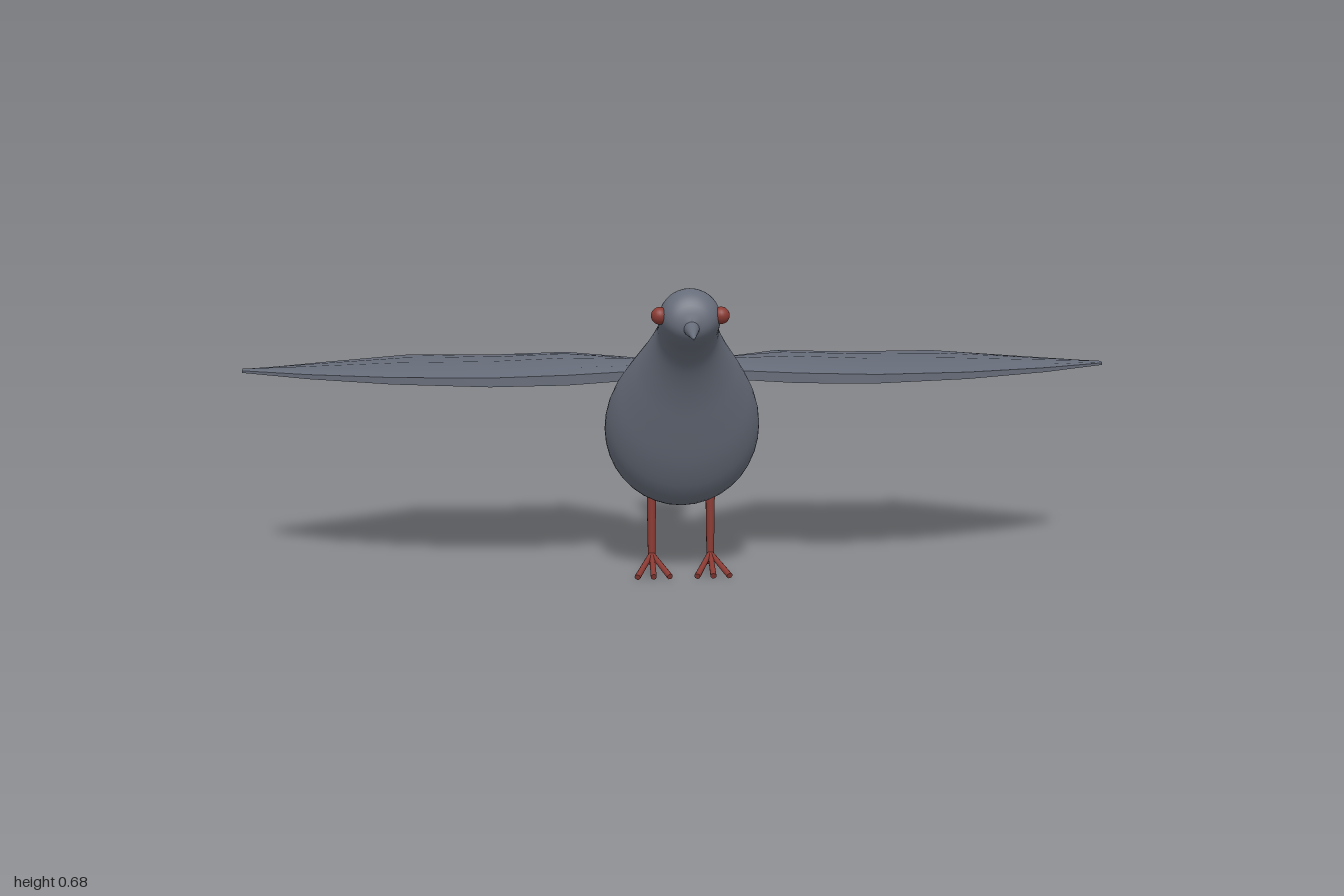
import * as THREE from 'three';
import { toCreasedNormals } from 'three/addons/utils/BufferGeometryUtils.js';

const plumage = new THREE.MeshStandardMaterial({ color: 0x666c79 });
plumage.name = 'slate grey';
const red = new THREE.MeshStandardMaterial({ color: 0x8a3a33 });
red.name = 'brick red';

function add(parent, name, geometry, material) {
  const mesh = new THREE.Mesh(geometry, material);
  mesh.name = name;
  parent.add(mesh);
  return mesh;
}

// Skins a list of closed rings (each a list of Vector3) and caps both ends.
// Rings run anticlockwise when looking back along the direction of the loft.
function loft(rings) {
  const n = rings[0].length, pos = [], idx = [];
  rings.forEach(r => r.forEach(p => pos.push(p.x, p.y, p.z)));
  for (let i = 0; i < rings.length - 1; i++) {
    for (let j = 0; j < n; j++) {
      const a = i * n + j, b = i * n + (j + 1) % n;
      idx.push(a, b, b + n, a, b + n, a + n);
    }
  }
  const last = (rings.length - 1) * n;
  for (let j = 1; j < n - 1; j++) {
    idx.push(0, j + 1, j, last, last + j, last + j + 1);
  }
  const g = new THREE.BufferGeometry();
  g.setAttribute('position', new THREE.Float32BufferAttribute(pos, 3));
  g.setIndex(idx);
  g.computeVertexNormals();
  return g;
}

// Body rings: top z, top y, bottom z, bottom y, half width
function bodyGeometry() {
  const s = [
    [-0.207, 0.336, -0.205, 0.324, 0.03], [-0.19, 0.362, -0.18, 0.298, 0.065],
    [-0.14, 0.412, -0.13, 0.25, 0.108], [-0.07, 0.459, -0.06, 0.197, 0.143],
    [0, 0.49, 0.02, 0.163, 0.165], [0.07, 0.512, 0.1, 0.158, 0.175],
    [0.13, 0.533, 0.16, 0.188, 0.172], [0.175, 0.552, 0.2, 0.255, 0.155],
    [0.215, 0.576, 0.23, 0.34, 0.126], [0.245, 0.599, 0.253, 0.41, 0.099],
    [0.27, 0.624, 0.277, 0.467, 0.078], [0.29, 0.646, 0.302, 0.508, 0.067],
    [0.315, 0.669, 0.335, 0.54, 0.066], [0.345, 0.68, 0.368, 0.558, 0.065],
    [0.375, 0.672, 0.39, 0.573, 0.056], [0.396, 0.648, 0.401, 0.588, 0.038],
    [0.405, 0.615, 0.405, 0.605, 0.008],
  ];
  const top = new THREE.CatmullRomCurve3(s.map(r => new THREE.Vector3(0, r[1], r[0])), false, 'catmullrom');
  const low = new THREE.CatmullRomCurve3(s.map(r => new THREE.Vector3(r[4], r[3], r[2])), false, 'catmullrom');
  const rings = [], steps = 64, sides = 36;
  for (let i = 0; i <= steps; i++) {
    const t = top.getPoint(i / steps), b = low.getPoint(i / steps), ring = [];
    for (let j = 0; j < sides; j++) {
      const a = j / sides * Math.PI * 2, k = (1 + Math.cos(a)) / 2;
      ring.push(new THREE.Vector3(-b.x * Math.sin(a), b.y + (t.y - b.y) * k, b.z + (t.z - b.z) * k));
    }
    rings.push(ring);
  }
  return loft(rings);
}

// Wing stations: x, leading z, trailing z, ridge y, underside y
function wingGeometry(side) {
  const stations = [
    [0.09, 0.13, -0.115, 0.488, 0.454], [0.26, 0.18, -0.27, 0.488, 0.45],
    [0.43, 0.196, -0.245, 0.484, 0.45], [0.645, 0.16, -0.262, 0.479, 0.453],
    [0.84, 0.09, -0.135, 0.474, 0.457], [1, 0.0, -0.028, 0.468, 0.46],
  ];
  const rings = stations.map(([x, f, r, hi, lo]) => {
    const h = hi - lo, c = f - r;
    const ring = [
      [f, lo], [f, lo + h * 0.6], [f - c * 0.12, lo + h * 0.85], [f - c * 0.4, hi],
      [f - c * 0.7, lo + h * 0.8], [r, lo + h * 0.45], [r, lo + h * 0.12], [f - c * 0.5, lo + h * 0.2],
    ].map(([z, y]) => new THREE.Vector3(x * side, y, z));
    return side > 0 ? ring.reverse() : ring;
  });
  return toCreasedNormals(loft(rings), 0.8);
}

// Thin fan tail, slightly arched across, sloping down to a rounded end
function tailGeometry() {
  const across = [-1, -0.75, -0.5, -0.25, 0, 0.25, 0.5, 0.75, 1];
  const rings = [0, 0.25, 0.5, 0.75, 1].map(t => {
    const point = (u, lift) => {
      const reach = 0.255 * t + 0.04 * t * t * (1 - u * u);
      return new THREE.Vector3(u * (0.035 + 0.035 * t), 0.333 - 0.187 * reach - 0.007 * t * u * u + lift, -0.182 - reach);
    };
    return [...across.map(u => point(u, 0.002)), ...across.map(u => point(-u, -0.002))];
  });
  return toCreasedNormals(loft(rings), 0.6);
}

// Straight round rod between two points
function rod(from, to, r0, r1) {
  const a = new THREE.Vector3(...from), b = new THREE.Vector3(...to);
  const d = b.clone().sub(a), len = d.length();
  const g = new THREE.CylinderGeometry(r1, r0, len, 10);
  g.applyQuaternion(new THREE.Quaternion().setFromUnitVectors(new THREE.Vector3(0, 1, 0), d.normalize()));
  a.add(b).multiplyScalar(0.5);
  return g.translate(a.x, a.y, a.z);
}

export function createModel() {
  const bird = new THREE.Group();
  bird.name = 'bird';

  add(bird, 'body', bodyGeometry(), plumage);
  add(bird, 'tail', tailGeometry(), plumage);

  // Beak: a cone sheared so that its underside is level
  const beak = new THREE.ConeGeometry(0.02, 0.09, 16).rotateX(Math.PI / 2).translate(0, 0, 0.045);
  const p = beak.attributes.position;
  for (let i = 0; i < p.count; i++) p.setY(i, p.getY(i) - p.getZ(i) * 0.21);
  beak.computeVertexNormals();
  add(bird, 'beak', beak.translate(0, 0.603, 0.387), plumage);

  for (const side of [1, -1]) {
    const label = side > 0 ? 'left' : 'right';
    add(bird, label + 'Wing', wingGeometry(side), plumage);
    add(bird, label + 'Eye', new THREE.SphereGeometry(0.0185, 20, 14), red)
      .position.set(side * 0.065, 0.624, 0.365);

    // Leg with three front toes and one hind toe
    const leg = new THREE.Group();
    leg.name = label + 'Leg';
    bird.add(leg);
    const x = side * 0.068, ankle = [x, 0.04, 0.078];
    add(leg, 'shank', rod(ankle, [x, 0.175, 0.073], 0.009, 0.011), red);
    add(leg, 'ankle', new THREE.SphereGeometry(0.009, 12, 8), red).position.set(...ankle);
    for (const spread of [-0.037, 0, 0.037]) {
      add(leg, 'frontToe', rod(ankle, [x + spread, 0.007, 0.168], 0.006, 0.007), red);
    }
    add(leg, 'hindToe', rod(ankle, [x, 0.007, 0.028], 0.006, 0.007), red);
  }
  return bird;
}
